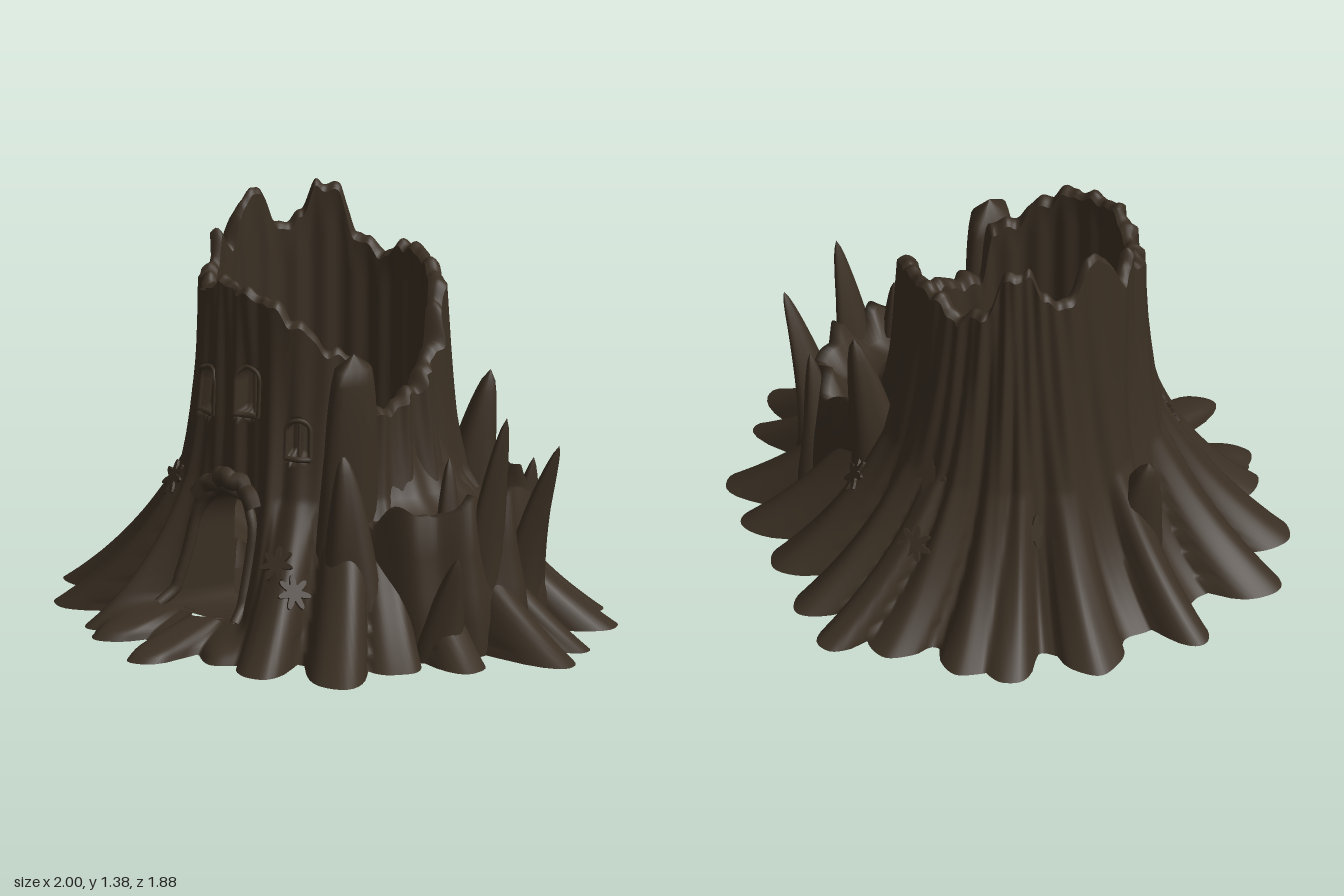
import * as THREE from 'three';

const bark = new THREE.MeshStandardMaterial({ color: 0x3a2f23 });
bark.name = 'dark bark';

const CX = -0.1, DEG = Math.PI / 180, INNER = 0.355;
const { smoothstep, lerp } = THREE.MathUtils;
const wrap = a => Math.atan2(Math.sin(a), Math.cos(a));
const polar = (th, r, y) => new THREE.Vector3(CX + r * Math.cos(th), y, r * Math.sin(th));

// Root tips: x, z, half width
const roots = [
  [-1, -0.09, 0.09], [-0.97, 0.29, 0.13], [-0.82, 0.55, 0.13], [-0.53, 0.69, 0.1], [-0.42, 0.8, 0.1],
  [-0.13, 0.95, 0.1], [0.1, 0.76, 0.11], [0.3, 0.81, 0.11], [0.58, 0.7, 0.13], [0.64, 0.45, 0.12],
  [0.83, 0.27, 0.11], [1, 0, 0.12], [0.94, -0.17, 0.09], [0.8, -0.45, 0.12], [0.63, -0.59, 0.12],
  [0.41, -0.71, 0.12], [0.17, -0.83, 0.11], [-0.02, -0.95, 0.1], [-0.2, -0.83, 0.12], [-0.48, -0.75, 0.12],
  [-0.63, -0.69, 0.1], [-0.82, -0.43, 0.13],
].map(([x, z, w], i) => ({
  a: Math.atan2(z, x - CX), r: Math.hypot(x - CX, z), w, ridge: 0.6 + 0.4 * ((i * 3) % 5) / 4,
}));

// Broken rim height: angle in degrees from +x towards +z, height
const rimKeys = [[0, 0.82], [14, 0.77], [27, 0.76], [34, 0.96], [45, 0.98], [60, 1.07], [75, 1.14], [90, 1.16],
  [110, 1.18], [125, 1.11], [140, 1.13], [152, 1.15], [160, 1.25], [171, 1.17], [183, 1.32], [193, 1.35],
  [206, 1.2], [218, 1.24], [226, 1.35], [238, 1.33], [247, 1.17], [265, 1.12], [275, 1.17], [290, 1.17],
  [302, 1.15], [318, 1.12], [330, 1.06], [338, 0.93], [360, 0.82]];
function rimHeight(th) {
  const d = ((th / DEG) % 360 + 360) % 360;
  let k = 0;
  while (rimKeys[k + 1][0] < d) k++;
  const [a, h] = rimKeys[k], [b, g] = rimKeys[k + 1];
  return lerp(h, g, smoothstep(d, a, b)) + 0.016 * Math.abs(Math.sin(th * 11)) + 0.006 * Math.sin(th * 37);
}

// Arched openings: angle, base height, half width, straight height
const door = { a: 95 * DEG, y: 0.09, w: 0.13, h: 0.27, k: 0.48 };
const windows = [[115, 0.73, 0.042, 0.11], [87, 0.76, 0.042, 0.12], [60, 0.64, 0.036, 0.09]]
  .map(([a, y, w, h]) => ({ a: a * DEG, y, w, h, k: 0.43 }));
function inArch(o, th, y) {
  const s = Math.abs(wrap(th - o.a)) * o.k;
  return s < o.w && y > o.y && y < o.y + o.h + Math.sqrt(o.w * o.w - s * s);
}
function archPoints(o, grow) {
  const w = o.w + grow, pts = [];
  for (let i = 0; i <= 6; i++) pts.push([w, o.y + o.h * i / 6]);
  for (let i = 1; i < 12; i++) pts.push([w * Math.cos(Math.PI * i / 12), o.y + o.h + w * Math.sin(Math.PI * i / 12)]);
  for (let i = 6; i >= 0; i--) pts.push([-w, o.y + o.h * i / 6]);
  return pts.map(([s, y]) => [o.a - s / o.k, y]);
}

// Outer radius: flared trunk, blunt spreading roots, uneven ridges up the bark, face cut back at the door
function outer(th, y) {
  const t = th + (0.12 + 0.16 * Math.sin(3 * th)) * y;
  let root = 0, ridge = 0;
  for (const o of roots) {
    const u = wrap(t - o.a) * o.r / o.w;
    if (Math.abs(u) < 1) root = Math.max(root, (o.r - 0.76) * Math.pow(1 - Math.abs(u) ** 3, 0.5));
    ridge = Math.max(ridge, o.ridge * Math.exp(-u * u * 1.1));
  }
  const cut = smoothstep(0.44 - Math.abs(wrap(th - door.a)), 0, 0.16) * smoothstep(y, 0.02, 0.12);
  return 0.39 + 0.31 * Math.exp(-y / 0.31) * (1 - 0.35 * cut)
    + root * Math.max(0, 1 - y / 0.5) * (1 - cut)
    + 0.08 * ridge * Math.exp(-y / 0.75) * (1 - 0.5 * cut)
    + 0.006 * Math.sin(19 * t + 3 * y) + 0.004 * Math.sin(43 * t - 5 * y);
}
const surface = (th, y) => polar(th, outer(th, y), y);

// Smooth sheet from a grid of points
function sheet(rows, cols, point, closed, skip) {
  const pos = [], idx = [], n = closed ? cols : cols + 1;
  for (let i = 0; i <= rows; i++) for (let j = 0; j < n; j++) pos.push(...point(i, j).toArray());
  for (let i = 0; i < rows; i++) for (let j = 0; j < cols; j++) {
    if (skip && skip(i, j)) continue;
    const k = (j + 1) % n, a = i * n + j, b = a + n, c = i * n + k, d = c + n;
    idx.push(a, b, c, b, d, c);
  }
  const g = new THREE.BufferGeometry();
  g.setAttribute('position', new THREE.Float32BufferAttribute(pos, 3));
  g.setIndex(idx);
  g.computeVertexNormals();
  return g;
}

export function createModel() {
  const model = new THREE.Group();
  model.name = 'hollowStump';
  const add = (name, geo) => {
    const m = new THREE.Mesh(geo, bark);
    m.name = name;
    model.add(m);
    return m;
  };

  // Outer bark with window recesses and the doorway left open
  const N = 360, ROWS = 84;
  const yAt = (i, th) => rimHeight(th) * Math.pow(i / ROWS, 1.25);
  const ang = j => j / N * Math.PI * 2;
  const hole = (i, j, f) => inArch(door, ang(j + 0.5), f(i + 0.5, ang(j + 0.5)));
  add('barkAndRoots', sheet(ROWS, N, (i, j) => {
    const th = ang(j), y = yAt(i, th);
    const dent = windows.some(w => inArch(w, th, y)) ? 0.045 : 0;
    return polar(th, outer(th, y) - dent, y);
  }, true, (i, j) => hole(i, j, yAt)));

  // Lumpy broken rim joining bark and hollow
  add('rim', sheet(5, N, (i, j) => {
    const th = ang(j), y = rimHeight(th), t = i / 5;
    return polar(th, lerp(outer(th, y), INNER, t), y + 0.02 * Math.sin(Math.PI * t));
  }, true));

  // Hollow wall, funnel-shaped hollow floor, ground inside the doorway, underside
  const inY = (i, th) => lerp(rimHeight(th), 0.08, i / 50);
  add('hollowWall', sheet(50, N, (i, j) =>
    polar(ang(j), INNER - 0.012 * (i / 50) + 0.006 * Math.sin(ang(j) * 23) * Math.min(1, i / 5), inY(i, ang(j))),
  true, (i, j) => hole(i, j, inY)));
  add('hollowFloor', sheet(4, 72, (i, j) => {
    const t = 1 - i / 4, a = j / 72 * Math.PI * 2;
    return polar(a, 0.355 * t, 0.09 + 0.21 * t + 0.008 * t * Math.sin(a * 11));
  }, true));
  add('doorwayGround', sheet(1, 72, (i, j) => polar(j / 36 * Math.PI, i ? 0 : 0.37, 0.082), true));
  add('underside', sheet(1, N, (i, j) => i ? surface(ang(j), 0) : new THREE.Vector3(CX, 0, 0), true));

  // Doorway lining, frame and ragged lintel
  const arch = archPoints(door, 0);
  add('doorLining', sheet(1, arch.length, (i, j) => {
    const [th, y] = arch[j % arch.length];
    return polar(th, i ? outer(th, y) + 0.003 : INNER - 0.02, y);
  }, true));
  const frame = (o, grow, r, name) => {
    const path = new THREE.CatmullRomCurve3(archPoints(o, grow).map(([th, y]) => surface(th, y)));
    add(name, new THREE.TubeGeometry(path, 60, r, 8));
  };
  frame(door, 0.012, 0.02, 'doorFrame');
  const lintel = [];
  for (let i = 0; i <= 10; i++) {
    const s = i / 5 - 1, p = surface(door.a - s * 0.3, 0.535 - 0.08 * s * s + 0.012 * (i % 2));
    lintel.push(p.setZ(p.z + 0.01));
  }
  add('lintel', new THREE.TubeGeometry(new THREE.CatmullRomCurve3(lintel), 50, 0.032, 8));

  // Window frames, sills and bars
  for (const w of windows) {
    frame(w, 0.006, 0.008, 'windowFrame');
    const bar = (name, pts, r) => add(name, new THREE.TubeGeometry(new THREE.CatmullRomCurve3(pts), 8, r, 6));
    bar('windowSill', [-1.2, 0, 1.2].map(s => surface(w.a + s * w.w / w.k, w.y)), 0.01);
    bar('windowBar', [0, 0.5, 1].map(t => {
      const y = w.y + t * (w.h + w.w);
      return polar(w.a, outer(w.a, y) - 0.035, y);
    }), 0.006);
  }

  // Split outer flank on the left: outside, ragged lip, then a bowl running back up to the trunk
  const flank = [[0.82, 0], [0.82, 0.12], [0.8, 0.22], [0.775, 0.34], [0.755, 1], [0.715, 1], [0.66, 0.44],
    [0.57, 0.43], [0.5, 0.49], [0.44, 0.62], [0.4, 0.78]];
  add('splitFlank', sheet(flank.length - 1, 90, (i, j) => {
    const u = j / 90, th = (-50 + 88 * u) * DEG, w = Math.pow(Math.sin(Math.PI * u), 0.5);
    const lip = 0.47 + 0.06 * Math.abs(Math.sin(u * 17)) + 0.015 * Math.sin(u * 53) - 0.12 * Math.max(0, u - 0.6);
    const [r, y] = flank[i];
    const ripple = 0.018 * Math.sin(u * 40) * (i < 6 ? 1 : 0.3);
    return polar(th, 0.37 + (r - 0.37 + ripple) * w, y === 1 ? lip : y);
  }, false));

  // Splinters: base, tip, radius in x and z, taper (low values are blunt)
  const splinters = [
    [[0.6, 0.1, 0], [0.71, 0.81, -0.01], 0.075, 0.11, 0.65],
    [[0.61, 0.1, -0.19], [0.77, 0.68, -0.21], 0.07, 0.1, 0.65],
    [[0.56, 0.1, 0.12], [0.54, 0.66, 0.09], 0.07, 0.08, 0.6],
    [[0.6, 0, 0.2], [0.7, 0.37, 0.23], 0.09, 0.1, 0.7],
    [[0.5, 0.05, -0.3], [0.57, 0.58, -0.31], 0.1, 0.12, 0.75],
    [[0.22, 0.05, -0.32], [0.31, 0.82, -0.39], 0.14, 0.13, 0.6],
    [[0.23, 0, 0.25], [0.29, 1.02, 0.29], 0.1, 0.15, 0.22],
    [[0.32, 0, 0.33], [0.3, 0.69, 0.36], 0.14, 0.13, 0.6],
    [[-0.55, 0, 0.02], [-0.66, 0.55, 0], 0.14, 0.14, 0.55],
  ];
  for (const [b, t, rx, rz, e] of splinters) add('splinter', sheet(20, 24, (i, j) => {
    const k = i / 20, a = j / 24 * Math.PI * 2, lean = Math.pow(k, 1.5);
    const s = Math.pow(1 - k, e) * (1 + 0.08 * Math.sin(a * 4 + k * 3));
    return new THREE.Vector3(b[0] + (t[0] - b[0]) * lean + rx * s * Math.cos(a), b[1] + (t[1] - b[1]) * k,
      b[2] + (t[2] - b[2]) * lean + rz * s * Math.sin(a));
  }, true));

  // Thin lobed leaves lying on the bark: angle in degrees, height
  const outline = new THREE.Shape();
  for (let i = 0; i <= 60; i++) {
    const a = i / 60 * Math.PI * 2, r = 0.046 + 0.018 * Math.cos(a * 7);
    outline[i ? 'lineTo' : 'moveTo'](r * Math.cos(a), r * Math.sin(a));
  }
  const leaf = new THREE.ExtrudeGeometry(outline, { depth: 0.009, bevelEnabled: false });
  for (const [d, y] of [[134, 0.46], [146, 0.38], [64, 0.31], [58, 0.23], [270, 0.5], [266, 0.3], [225, 0.36], [305, 0.33]]) {
    const th = d * DEG, p = surface(th, y);
    const up = surface(th, y + 0.05).sub(surface(th, y - 0.05));
    const side = surface(th + 0.1, y).sub(surface(th - 0.1, y));
    const n = up.cross(side).normalize(), m = add('leaf', leaf);
    m.position.copy(p).addScaledVector(n, 0.002);
    m.quaternion.setFromUnitVectors(new THREE.Vector3(0, 0, 1), n);
  }
  return model;
}
